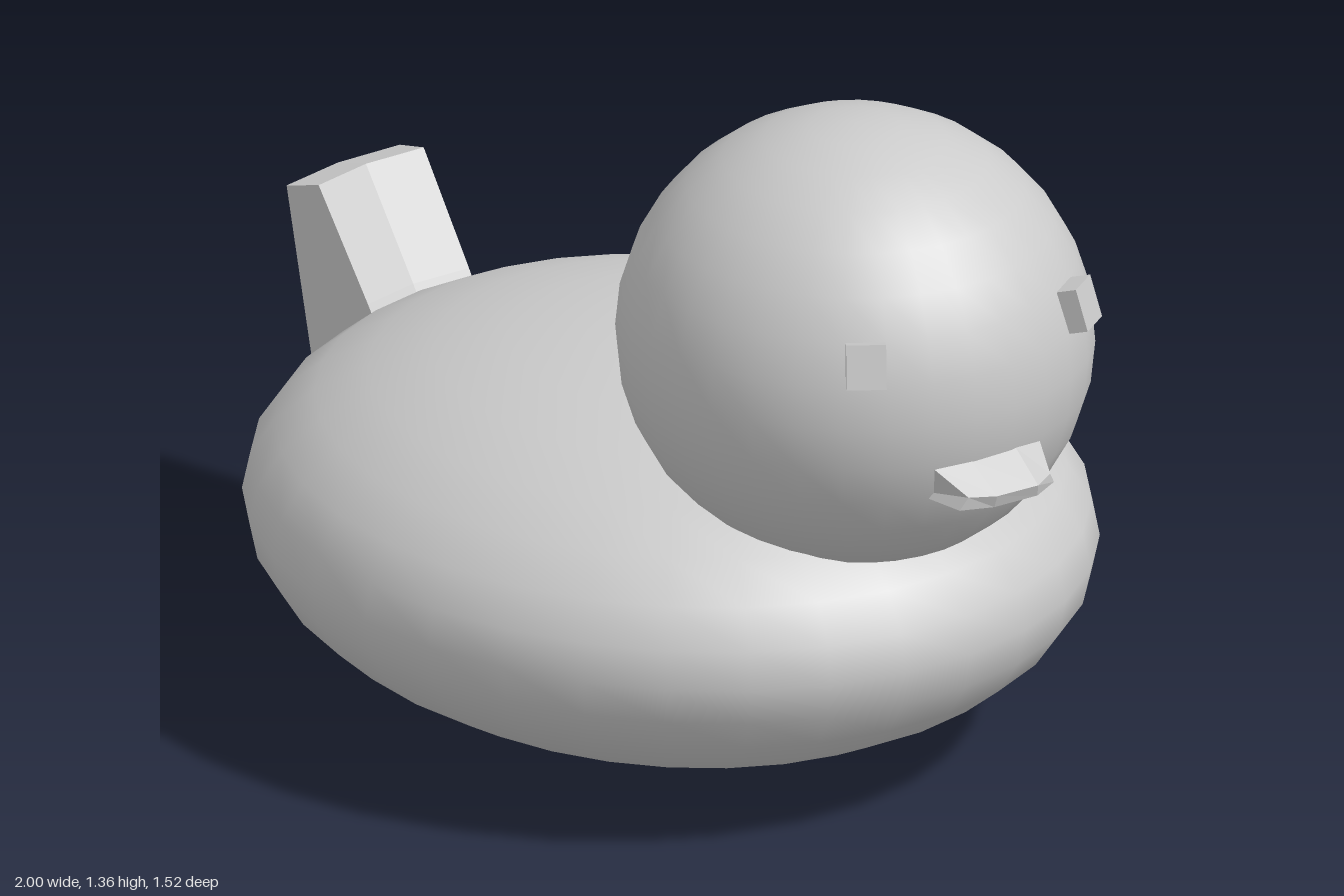
import * as THREE from 'three';

const smooth = new THREE.MeshStandardMaterial({ color: 0xcccccc });
const flat = new THREE.MeshStandardMaterial({ color: 0xcccccc, flatShading: true });

function add(parent, name, geometry, material) {
  const mesh = new THREE.Mesh(geometry, material);
  mesh.name = name;
  parent.add(mesh);
  return mesh;
}

function ellipsoid(rx, ry, rz, x, y, z) {
  return new THREE.SphereGeometry(1, 32, 16).scale(rx, ry, rz).translate(x, y, z);
}

// Joins matching cross-sections (counter-clockwise seen from +z, listed from -z to +z) and caps both ends
function loft(sections) {
  const n = sections[0].length;
  const last = (sections.length - 1) * n;
  const index = [];
  for (let s = 0; s < sections.length - 1; s++) {
    for (let i = 0; i < n; i++) {
      const a = s * n + i, b = s * n + (i + 1) % n;
      index.push(a, b, b + n, a, b + n, a + n);
    }
  }
  for (let i = 1; i < n - 1; i++) {
    index.push(0, i + 1, i);
    index.push(last, last + i, last + i + 1);
  }
  const geometry = new THREE.BufferGeometry();
  geometry.setAttribute('position', new THREE.Float32BufferAttribute(sections.flat(2), 3));
  geometry.setIndex(index);
  geometry.computeVertexNormals();
  return geometry;
}

export function createModel() {
  const model = new THREE.Group();
  model.name = 'duck';

  add(model, 'body', ellipsoid(0.857, 0.376, 0.758, -0.05, 0.376, 0), smooth);
  const head = new THREE.Vector3(0.476, 0.925, 0);
  add(model, 'head', ellipsoid(0.457, 0.432, 0.444, head.x, head.y, head.z), smooth);

  // Upright tail slab, folded slightly along its middle
  const tail = [-1, 0, 1].map((side) => {
    const dx = 0.015 * Math.abs(side);
    return [
      [-1.0 + dx, 0.765, side * 0.14],
      [-0.905 + dx, 0.3, side * 0.135],
      [-0.68 + dx, 0.42, side * 0.12],
      [-0.785 + dx, 0.59, side * 0.125],
      [-0.92 + dx, 0.79, side * 0.13],
    ];
  });
  add(model, 'tail', loft(tail), flat);

  // Bill: curved in plan, tapering to a thin lip
  const lip = [[0.972, -0.052, -0.085], [0.998, 0, -0.01], [0.985, 0.09, 0.09], [0.955, 0.135, 0.165]];
  const bill = lip.map(([x, zLip, zRoot]) => [
    [0.8, 0.765, zRoot],
    [x - 0.008, 0.765, (zLip + zRoot) / 2],
    [x, 0.79, zLip],
    [x - 0.075, 0.838, zRoot],
    [0.8, 0.85, zRoot],
  ]);
  add(model, 'bill', loft(bill), flat);

  // Square eyes facing outward from the head
  const eyes = { leftEye: [0.82, 1.055, 0.272], rightEye: [0.87, 1.055, -0.21] };
  for (const [name, place] of Object.entries(eyes)) {
    const eye = add(model, name, new THREE.BoxGeometry(0.075, 0.085, 0.045), flat);
    eye.position.set(...place);
    eye.lookAt(eye.position.clone().multiplyScalar(2).sub(head));
  }
  return model;
}
